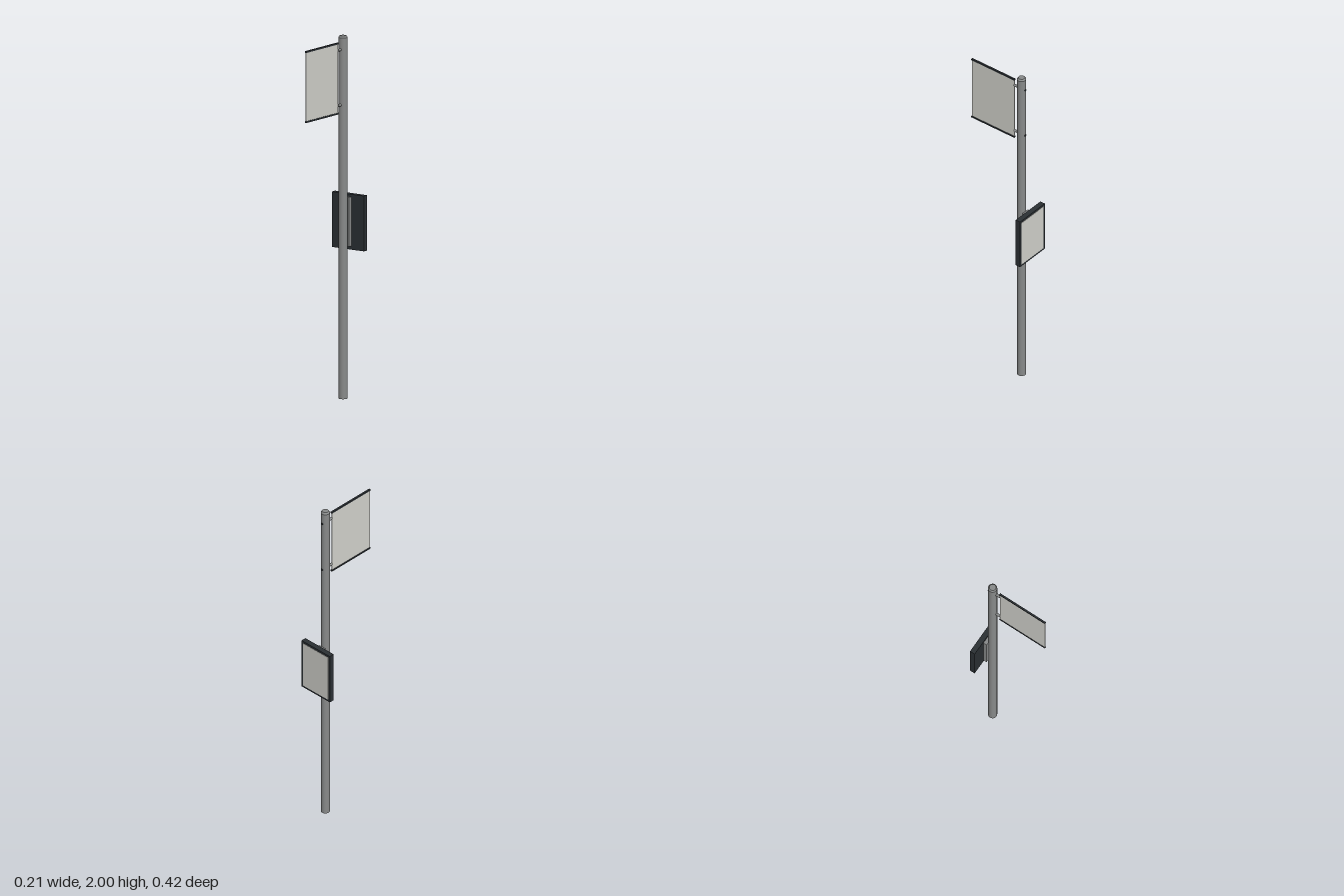
import * as THREE from 'three';

const mat = (color) => new THREE.MeshStandardMaterial({ color });
const POLE_Z = -0.135;

export function createModel() {
  const group = new THREE.Group();
  const steel = mat(0x888a8a), dark = mat(0x2b3034), pale = mat(0xd3d3cd);

  const add = (name, geometry, material, x, y, z) => {
    const mesh = new THREE.Mesh(geometry, material);
    mesh.name = name;
    mesh.position.set(x, y, z);
    group.add(mesh);
    return mesh;
  };
  const box = (name, w, h, d, material, y, z) =>
    add(name, new THREE.BoxGeometry(w, h, d), material, 0, y, z);
  // Round bar along z between two depths
  const rod = (name, r, z0, z1, y, material) =>
    add(name, new THREE.CylinderGeometry(r, r, z1 - z0, 20).rotateX(Math.PI / 2), material, 0, y, (z0 + z1) / 2);

  // Pole with a slightly crowned cap
  add('pole', new THREE.CylinderGeometry(0.025, 0.025, 1.99, 40), steel, 0, 0.995, POLE_Z);
  add('poleCap', new THREE.CylinderGeometry(0.018, 0.025, 0.01, 40), steel, 0, 1.995, POLE_Z);

  // Flag sign: thin sheet between two dark rails
  box('flagSheet', 0.004, 0.38, 0.294, pale, 1.77, 0.06);
  for (const y of [1.577, 1.963]) box('flagRail', 0.01, 0.009, 0.298, dark, y, 0.06);

  // Sign arms with a through bolt at the back of the pole
  for (const y of [1.925, 1.62]) {
    rod('flagArm', 0.0075, -0.115, -0.086, y, steel);
    rod('armBolt', 0.006, -0.163, -0.155, y, dark);
  }

  // Notice case on the back of the pole
  box('caseBracket', 0.046, 0.27, 0.022, steel, 0.97, -0.17);
  box('noticeCase', 0.214, 0.305, 0.03, dark, 0.9675, -0.195);
  box('noticePanel', 0.19, 0.281, 0.003, pale, 0.9675, -0.2103);

  return group;
}
